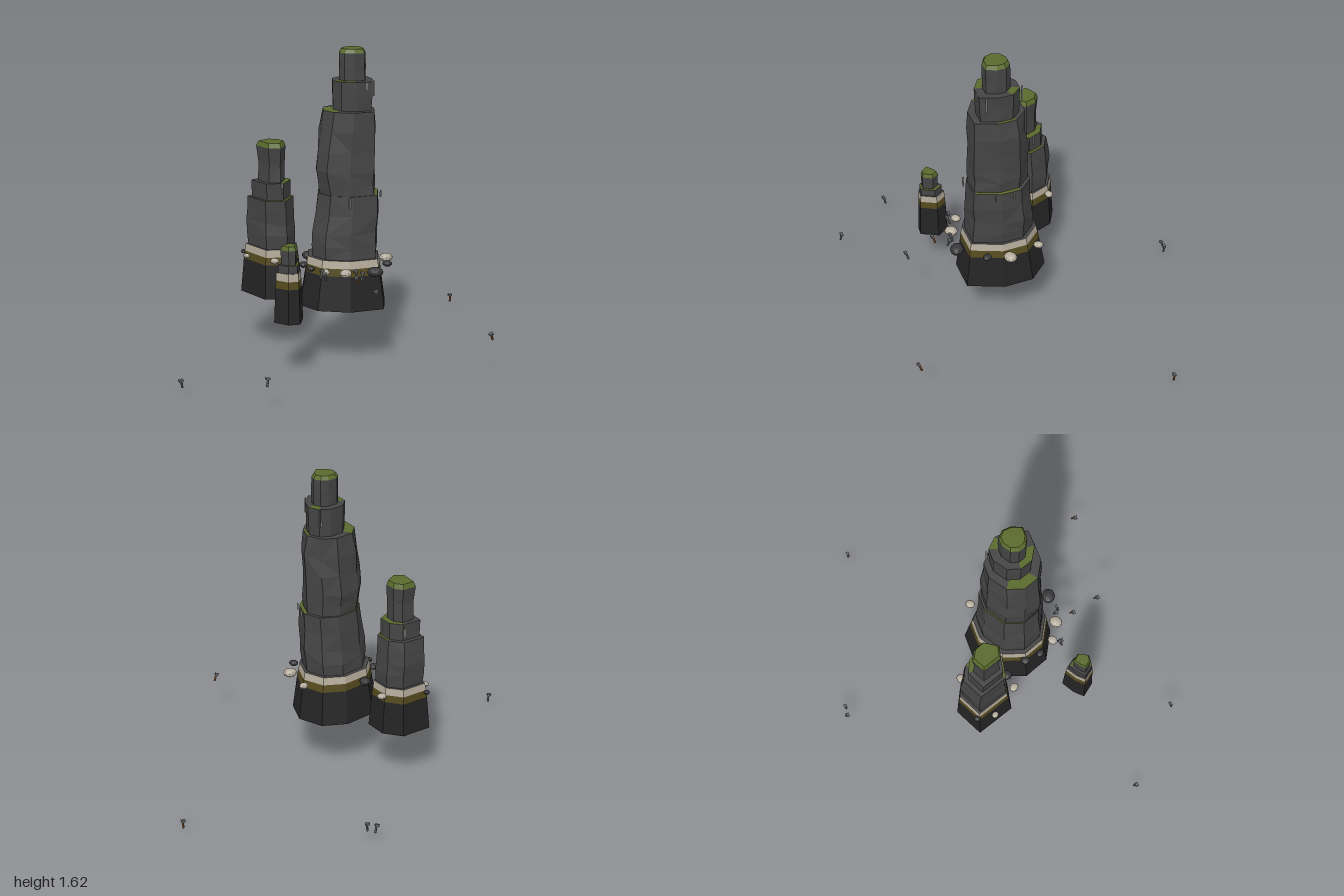
import * as THREE from 'three';

const mat = (name, color) => new THREE.MeshStandardMaterial({ name, color, flatShading: true });

export function createModel() {
  const M = {
    wet: mat('wet rock', 0x242424), rock: mat('dry rock', 0x454546),
    algae: mat('algae band', 0x544a1e), salt: mat('salt band', 0xb3aa9a),
    moss: mat('moss', 0x5a6a2c), pale: mat('pale boulder', 0xb5ad9e),
    dark: mat('dark boulder', 0x38383a), streak: mat('streak', 0x9a9a94),
    grey: mat('grey peg', 0x66686a), brown: mat('brown peg', 0x8a5630),
  };
  let seed = 11;
  const rand = () => ((seed = (seed * 16807) % 2147483647) / 2147483647);
  const root = new THREE.Group();
  root.name = 'seaStacks';

  const add = (parent, name, geometry, material) => {
    const mesh = new THREE.Mesh(geometry, material);
    mesh.name = name;
    parent.add(mesh);
    return mesh;
  };

  const fromPoints = (pts) => {
    const g = new THREE.BufferGeometry().setFromPoints(pts);
    g.computeVertexNormals();
    return g;
  };

  // Fit a unit outline into a level: [y, xMin, xMax, zMin, zMax]
  const ring = (outline, [y, x0, x1, z0, z1], rough = 0) => outline.map(([u, v]) => {
    const k = 1 + (rand() - 0.5) * rough;
    return new THREE.Vector3((x0 + x1) / 2 + u * k * (x1 - x0) / 2,
      y + (rand() - 0.5) * rough * 0.25, (z0 + z1) / 2 + v * k * (z1 - z0) / 2);
  });

  // Wall through a list of rings, with alternating diagonals
  const wall = (rings) => {
    const p = [];
    for (let r = 0; r + 1 < rings.length; r++) {
      const a = rings[r], b = rings[r + 1];
      a.forEach((_, i) => {
        const j = (i + 1) % a.length;
        if (r % 2) p.push(a[i], b[i], b[j], a[i], b[j], a[j]);
        else p.push(a[i], b[i], a[j], b[i], b[j], a[j]);
      });
    }
    return fromPoints(p);
  };

  // Flat lid; only the segments accepted by the filter are built
  const lid = (r, up, keep = () => true) => {
    const c = r.reduce((s, v) => s.add(v), new THREE.Vector3()).divideScalar(r.length);
    const p = [];
    r.forEach((v, i) => {
      const n = r[(i + 1) % r.length];
      if (keep(i)) p.push(c, up ? n : v, up ? v : n);
    });
    return fromPoints(p);
  };

  const lerpLevel = (a, b, t) => a.map((v, i) => v + (b[i] - v) * t);

  // One stack: wet foot, two tide bands, stepped rock tiers and a moss crown
  const buildStack = ({ name, outline, foot, tiers, crown }) => {
    const g = new THREE.Group();
    g.name = name;
    const f = foot.map((l) => ring(outline, l));
    add(g, 'wetFoot', wall([f[0], f[1]]), M.wet);
    add(g, 'underside', lid(f[0], false), M.wet);
    add(g, 'algaeBand', wall([f[1], f[2]]), M.algae);
    add(g, 'saltBand', wall([f[2], f[3]]), M.salt);
    add(g, 'saltLedge', lid(f[3], true), M.rock);
    tiers.forEach((levels, t) => {
      const rings = [];
      for (let s = 0; s + 1 < levels.length; s++) {
        const [a, b] = [levels[s], levels[s + 1]];
        const n = Math.max(1, Math.round((b[0] - a[0]) / 0.08));
        for (let k = s ? 1 : 0; k <= n; k++) {
          const edge = (s === 0 && k === 0) || (s + 2 === levels.length && k === n);
          rings.push(ring(outline, lerpLevel(a, b, k / n), edge ? 0 : 0.09));
        }
      }
      add(g, 'rockTier', wall(rings), M.rock);
      const top = rings[rings.length - 1];
      if (t === tiers.length - 1) {
        const c = ring(outline, crown);
        add(g, 'mossRim', wall([top, c]), M.moss);
        add(g, 'mossCrown', lid(c, true), M.moss);
      } else {
        const mossy = (i) => (i + t) % 5 < 2;
        add(g, 'mossLedge', lid(top, true, mossy), M.moss);
        add(g, 'rockLedge', lid(top, true, (i) => !mossy(i)), M.rock);
      }
    });
    root.add(g);
  };

  buildStack({
    name: 'tallStack',
    outline: [[1, -0.43], [0.96, 0.25], [0.55, 1], [-0.25, 0.92], [-0.85, 0.5],
      [-1, -0.1], [-0.72, -0.66], [0, -1], [0.6, -0.92]],
    foot: [[0.29, -0.22, 0.24, -0.08, 0.39], [0.47, -0.19, 0.215, -0.05, 0.365],
      [0.51, -0.185, 0.207, -0.043, 0.36], [0.55, -0.178, 0.2, -0.035, 0.352]],
    tiers: [
      [[0.55, -0.155, 0.185, -0.015, 0.34], [0.68, -0.15, 0.195, -0.01, 0.335], [0.88, -0.125, 0.195, 0.005, 0.333]],
      [[0.88, -0.12, 0.175, 0.015, 0.325], [1.0, -0.14, 0.175, 0.01, 0.32],
        [1.2, -0.12, 0.183, 0.025, 0.32], [1.31, -0.1, 0.17, 0.03, 0.318]],
      [[1.31, -0.045, 0.155, 0.065, 0.283], [1.46, -0.05, 0.16, 0.062, 0.29]],
      [[1.46, -0.015, 0.125, 0.108, 0.245], [1.6, -0.015, 0.123, 0.108, 0.245]],
    ],
    crown: [1.62, 0, 0.11, 0.118, 0.235],
  });

  buildStack({
    name: 'middleStack',
    outline: [[1, 0.2], [0.2, 1], [-0.7, 0.72], [-1, -0.65], [0.1, -1], [0.75, -0.6]],
    foot: [[0.29, -0.39, -0.095, -0.3, 0.015], [0.47, -0.375, -0.11, -0.288, -0.005],
      [0.51, -0.37, -0.115, -0.285, -0.01], [0.55, -0.365, -0.12, -0.28, -0.015]],
    tiers: [
      [[0.55, -0.355, -0.13, -0.265, -0.025], [0.68, -0.36, -0.13, -0.275, -0.025], [0.81, -0.36, -0.14, -0.26, -0.025]],
      [[0.81, -0.34, -0.155, -0.235, -0.045], [0.9, -0.345, -0.155, -0.232, -0.042]],
      [[0.9, -0.315, -0.19, -0.205, -0.06], [1.0, -0.31, -0.19, -0.2, -0.065], [1.085, -0.322, -0.185, -0.212, -0.053]],
    ],
    crown: [1.11, -0.312, -0.195, -0.2, -0.065],
  });

  buildStack({
    name: 'smallStack',
    outline: [[1, -0.1], [0.3, 1], [-0.45, 0.85], [-1, -0.1], [-0.4, -0.6], [0.5, -1]],
    foot: [[0.29, -0.468, -0.308, 0.285, 0.44], [0.47, -0.46, -0.315, 0.292, 0.432],
      [0.51, -0.457, -0.318, 0.295, 0.43], [0.55, -0.455, -0.32, 0.297, 0.428]],
    tiers: [
      [[0.55, -0.447, -0.33, 0.308, 0.423], [0.59, -0.447, -0.33, 0.308, 0.423]],
      [[0.59, -0.432, -0.345, 0.328, 0.41], [0.665, -0.435, -0.342, 0.325, 0.412]],
    ],
    crown: [0.685, -0.428, -0.35, 0.332, 0.404],
  });

  // Boulders along the tide line: x, z, radius, pale or dark
  [[0.25, 0.19, 0.038, 1], [0.225, 0.015, 0.027, 1], [-0.08, 0.38, 0.036, 1],
    [-0.165, 0.315, 0.028, 1], [0.07, 0.415, 0.042, 0], [-0.2, 0.13, 0.026, 0],
    [0.2, 0.3, 0.026, 0], [-0.1, -0.03, 0.034, 0], [-0.225, 0, 0.032, 0],
    [-0.305, 0.005, 0.026, 1], [-0.13, -0.225, 0.026, 1], [-0.395, -0.155, 0.02, 1],
    [-0.37, -0.25, 0.018, 0], [-0.2, 0.22, 0.022, 0]].forEach(([x, z, r, pale]) => {
    const b = add(root, 'boulder', new THREE.IcosahedronGeometry(r, 1), pale ? M.pale : M.dark);
    b.scale.set(1, 0.62, 0.85);
    b.rotation.y = rand() * 6;
    b.position.set(x, 0.503, z);
  });

  // Thin streaks hanging below the ledges: x, top, z, length
  [[0.135, 1.46, 0.262, 0.08], [0.08, 1.46, 0.288, 0.04], [0.11, 1.46, 0.055, 0.09],
    [0.19, 0.88, 0.24, 0.035], [0.199, 0.88, 0.14, 0.04], [-0.03, 0.88, 0.325, 0.06],
    [-0.158, 0.9, -0.145, 0.05], [-0.25, 0.9, -0.234, 0.07], [-0.24, 0.9, -0.04, 0.06]].forEach(([x, top, z, len]) => {
    const s = add(root, 'streak', new THREE.BoxGeometry(0.007, len, 0.007), M.streak);
    s.position.set(x, top - len / 2, z);
  });

  // Small tilted pegs with an offset head: x, y, z, tilt, brown or grey
  const shaft = new THREE.CylinderGeometry(0.005, 0.006, 0.042, 6);
  const head = new THREE.BoxGeometry(0.022, 0.011, 0.015);
  [[-0.988, 0.064, 0.405, 0.15, 0], [-0.697, 0.145, 0.785, -0.25, 0], [0.097, 0.09, -0.83, 0.25, 0],
    [0.138, 0.097, -0.815, -0.1, 0], [0.518, 0.216, 0.828, 0.35, 1], [0.983, 0.026, -0.397, -0.08, 1],
    [-0.043, 0.46, 0.65, 0.3, 0], [-0.068, 0.492, 0.485, 0.3, 1], [-0.01, 0.49, 0.425, -0.3, 0],
    [-0.03, 0.5, 0.4, 0.2, 0], [-0.2, 0.505, 0.345, -0.3, 0], [-0.18, 0.49, 0.35, 0.3, 0]].forEach(([x, y, z, tilt, brown]) => {
    const peg = new THREE.Group();
    peg.name = 'peg';
    add(peg, 'pegShaft', shaft, brown ? M.brown : M.grey);
    add(peg, 'pegHead', head, M.grey).position.set(-0.003, 0.019, 0.002);
    peg.position.set(x, y, z);
    peg.rotation.set(tilt * 0.8, 0, tilt);
    root.add(peg);
  });

  return root;
}
